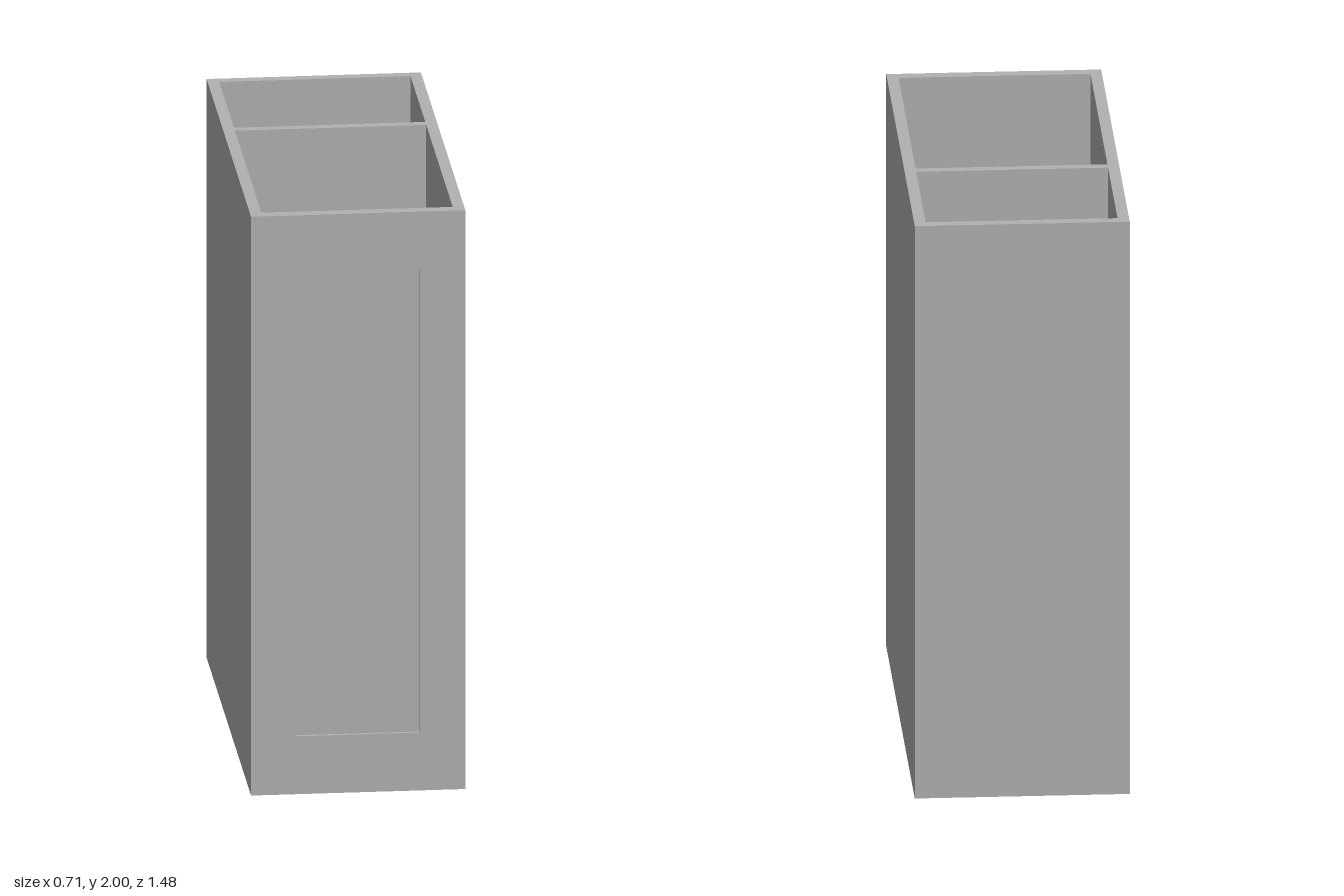
import * as THREE from 'three';

const W = 0.708, H = 2, D = 1.476;   // outer size
const FLOOR = 0.04;                  // floor thickness
const POCKET_W = 0.632;
const POCKETS = [
  { name: 'frontCompartment', z0: -0.18, z1: 0.698 },
  { name: 'backCompartment', z0: -0.212, z1: -0.702 },
];
const HOLE = { z: -0.4, r: 0.187 };
const PANEL = { w: 0.404, h: 1.6, depth: 0.012 };

// Rectangle outline centred on (cx, cy)
function rect(w, h, cx = 0, cy = 0, Type = THREE.Path) {
  return new Type([[-1, -1], [1, -1], [1, 1], [-1, 1]].map(
    ([x, y]) => new THREE.Vector2(cx + x * w / 2, cy + y * h / 2)));
}

function sheet(w, h, holes, cy = 0) {
  const shape = rect(w, h, 0, cy, THREE.Shape);
  shape.holes.push(...holes);
  return new THREE.ShapeGeometry(shape, 64);
}

function circle(y) {
  return new THREE.Path().absarc(0, y, HOLE.r, 0, Math.PI * 2);
}

// Box with some sides left out (0..5 = +x -x +y -y +z -z), optionally facing inward
function openBox(w, h, d, drop, inward = false) {
  const g = new THREE.BoxGeometry(w, h, d);
  const index = Array.from(g.index.array);
  g.setIndex(index.filter((_, i) => !drop.includes(Math.floor(i / 6))));
  g.clearGroups();
  if (inward) {
    g.scale(-1, 1, 1);
    g.computeVertexNormals();
  }
  return g;
}

export function createModel() {
  const model = new THREE.Group();
  model.name = 'dividedHolder';
  const grey = new THREE.MeshStandardMaterial({ color: 0xb2b2b2 });
  grey.name = 'grey';

  function add(name, geometry, x = 0, y = 0, z = 0) {
    const mesh = new THREE.Mesh(geometry, grey);
    mesh.name = name;
    mesh.position.set(x, y, z);
    model.add(mesh);
  }

  // Outer sides and back
  add('outerWalls', openBox(W, H, D, [2, 3, 4]), 0, H / 2, 0);

  // Front wall with a shallow recessed panel
  add('frontWall', sheet(W, H, [rect(PANEL.w, PANEL.h)]), 0, H / 2, D / 2);
  add('frontRecess', openBox(PANEL.w, PANEL.h, PANEL.depth, [4], true),
    0, H / 2, D / 2 - PANEL.depth / 2);

  // Top rim around both compartments, including the divider's edge
  const openings = POCKETS.map(p =>
    rect(POCKET_W, Math.abs(p.z1 - p.z0), 0, -(p.z0 + p.z1) / 2));
  add('topRim', sheet(W, D, openings).rotateX(-Math.PI / 2), 0, H, 0);

  // Underside with the round hole
  add('underside', sheet(W, D, [circle(HOLE.z)]).rotateX(Math.PI / 2));

  // Compartment walls and floors; the back floor is pierced
  for (const { name, z0, z1 } of POCKETS) {
    const depth = Math.abs(z1 - z0), zc = (z0 + z1) / 2, height = H - FLOOR;
    add(name + 'Walls', openBox(POCKET_W, height, depth, [2, 3], true),
      0, FLOOR + height / 2, zc);
    const holes = name === 'backCompartment' ? [circle(zc - HOLE.z)] : [];
    add(name + 'Floor', sheet(POCKET_W, depth, holes).rotateX(-Math.PI / 2), 0, FLOOR, zc);
  }

  // Inner wall of the hole, facing its axis
  add('holeWall', new THREE.LatheGeometry(
    [new THREE.Vector2(HOLE.r, FLOOR), new THREE.Vector2(HOLE.r, 0)], 64), 0, 0, HOLE.z);

  return model;
}
